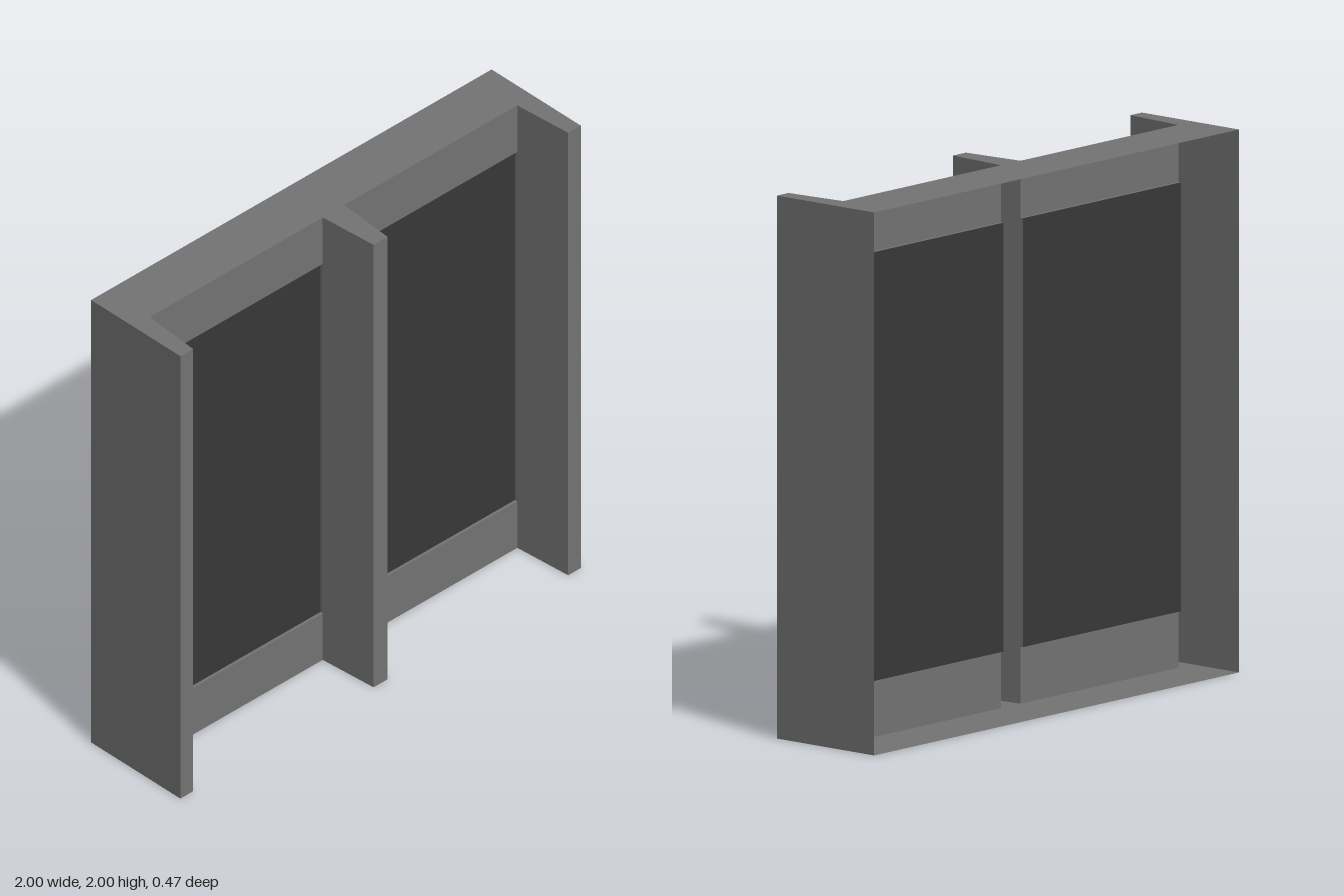
import * as THREE from 'three';
import { mergeGeometries } from 'three/addons/utils/BufferGeometryUtils.js';

const HEIGHT = 2, BACK = -0.233, FRONT = 0.233;
const PANEL_Z = -0.013, GLASS_Z = -0.025;   // wall plane and recessed pane plane
const SILL = 0.21, HEAD = 1.79;             // window opening

const frameMat = new THREE.MeshStandardMaterial({ color: 0x737373, side: THREE.DoubleSide, flatShading: true });
const glassMat = new THREE.MeshStandardMaterial({ color: 0x383838, side: THREE.DoubleSide, flatShading: true });

// One flat face from four corners, counter-clockwise seen from its front
function quad(a, b, c, d) {
  const g = new THREE.BufferGeometry();
  g.setAttribute('position', new THREE.Float32BufferAttribute([a, b, c, d].flat(), 3));
  g.setIndex([0, 1, 2, 0, 2, 3]);
  g.computeVertexNormals();
  return g;
}

// Vertical wall following a plan path of [x, z] points
function wall(path, y0 = 0, y1 = HEIGHT) {
  const faces = path.slice(1).map(([bx, bz], i) => {
    const [ax, az] = path[i];
    return quad([ax, y0, az], [bx, y0, bz], [bx, y1, bz], [ax, y1, az]);
  });
  return mergeGeometries(faces);
}

export function createModel() {
  const group = new THREE.Group();
  const add = (name, geometry, material = frameMat) => {
    const mesh = new THREE.Mesh(geometry, material);
    mesh.name = name;
    group.add(mesh);
  };

  // Plan outlines of the three hollow, tapered piers
  const rightPier = [[-1, BACK], [-1, FRONT], [-0.937, FRONT], [-0.918, PANEL_Z]];
  const middlePier = [[-0.054, PANEL_Z], [-0.035, FRONT], [0.035, FRONT], [0.054, PANEL_Z]];
  const leftPier = rightPier.map(([x, z]) => [-x, z]).reverse();
  add('rightPier', wall(rightPier));
  add('middlePier', wall(middlePier));
  add('leftPier', wall(leftPier));

  // Top and bottom plates share the whole plan; the back stays open
  const plan = [...rightPier, ...middlePier, ...leftPier];
  const plate = (sign) => new THREE.ShapeGeometry(
    new THREE.Shape(plan.map(([x, z]) => new THREE.Vector2(x, sign * z))))
    .rotateX(sign * Math.PI / 2);
  add('topPlate', plate(-1).translate(0, HEIGHT, 0));
  add('bottomPlate', plate(1));

  // Two bays: panels above and below a slightly recessed pane
  for (const [side, x0, x1] of [['right', -0.918, -0.054], ['left', 0.054, 0.918]]) {
    const line = [[x0, PANEL_Z], [x1, PANEL_Z]];
    add(side + 'LowerPanel', wall(line, 0, SILL));
    add(side + 'UpperPanel', wall(line, HEAD, HEIGHT));
    add(side + 'Reveal', mergeGeometries([
      quad([x0, SILL, PANEL_Z], [x1, SILL, PANEL_Z], [x1, SILL, GLASS_Z], [x0, SILL, GLASS_Z]),
      quad([x0, HEAD, GLASS_Z], [x1, HEAD, GLASS_Z], [x1, HEAD, PANEL_Z], [x0, HEAD, PANEL_Z]),
      wall([[x0, PANEL_Z], [x0, GLASS_Z]], SILL, HEAD),
      wall([[x1, GLASS_Z], [x1, PANEL_Z]], SILL, HEAD),
    ]));
    add(side + 'Pane', wall([[x0, GLASS_Z], [x1, GLASS_Z]], SILL, HEAD), glassMat);
  }
  return group;
}
